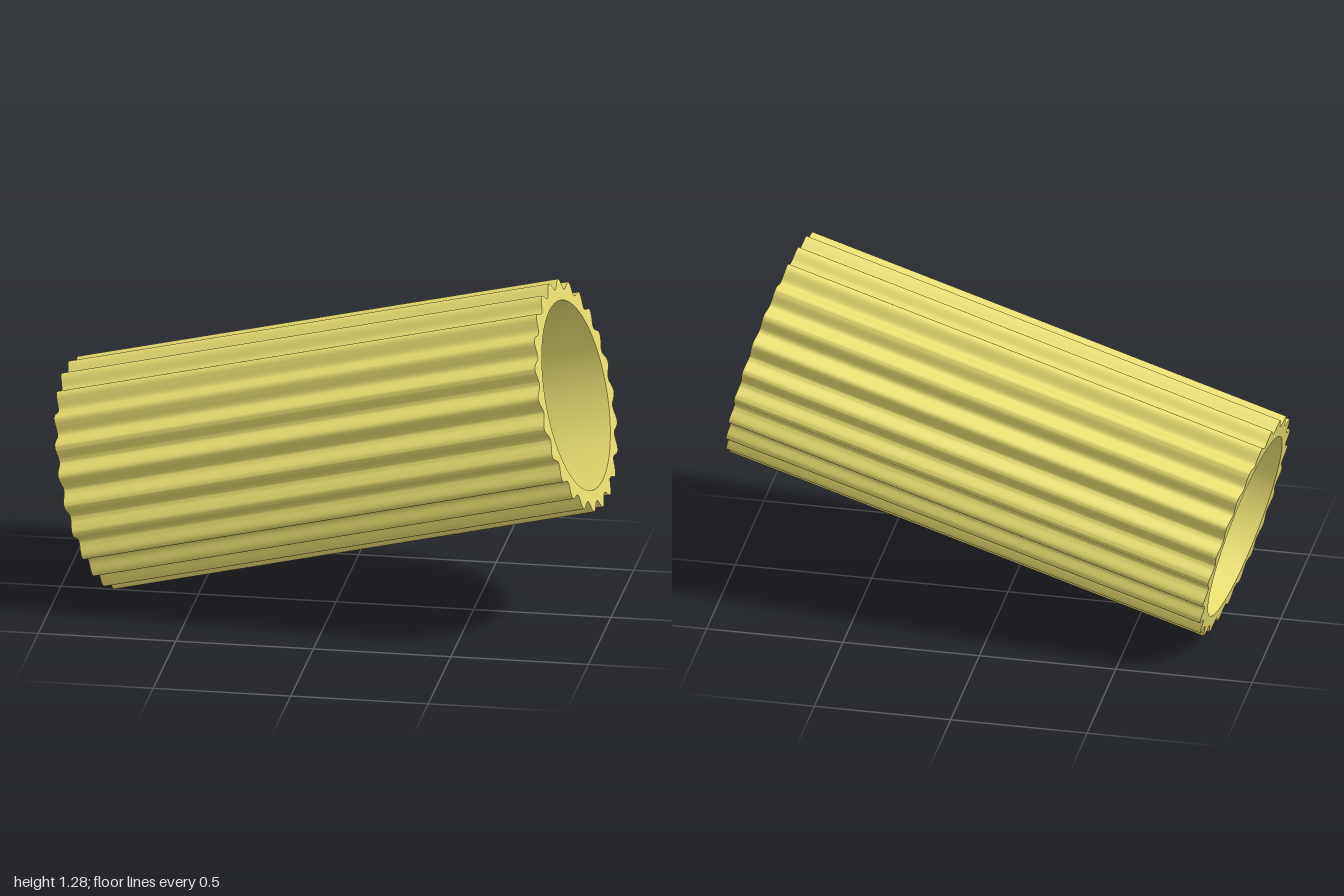
import * as THREE from 'three';
import { toCreasedNormals } from 'three/addons/utils/BufferGeometryUtils.js';

const TEETH = 24, STEPS = 16;
const MEAN_R = 0.405, WAVE = 0.018, BORE_R = 0.346;
const PHASE = THREE.MathUtils.degToRad(9.1);

export function createModel() {
  const group = new THREE.Group();
  group.name = 'flutedSleeve';

  // Wavy outer outline
  const outline = [];
  for (let i = 0; i < TEETH * STEPS; i++) {
    const a = (i / (TEETH * STEPS)) * Math.PI * 2;
    const r = MEAN_R + WAVE * Math.cos(TEETH * (a + PHASE));
    outline.push(new THREE.Vector2(r * Math.cos(a), r * Math.sin(a)));
  }
  const shape = new THREE.Shape(outline);

  // Round through bore
  const bore = [];
  for (let i = 0; i < 72; i++) {
    const a = (-i / 72) * Math.PI * 2;
    bore.push(new THREE.Vector2(BORE_R * Math.cos(a), BORE_R * Math.sin(a)));
  }
  shape.holes.push(new THREE.Path(bore));

  // Straight tube along the tilted axis
  const axis = new THREE.Vector3(1.775, 0.464, 0.176);
  const length = axis.length();
  axis.normalize();
  const side = new THREE.Vector3(0, -axis.z, axis.y).normalize();
  const up = new THREE.Vector3().crossVectors(side, axis);

  let geo = new THREE.ExtrudeGeometry(shape, { depth: length, bevelEnabled: false, steps: 1 });
  geo.translate(0, 0, -length / 2);
  geo = toCreasedNormals(geo, THREE.MathUtils.degToRad(40));
  geo.applyMatrix4(new THREE.Matrix4().makeBasis(up, side, axis));
  geo.computeBoundingBox();
  geo.translate(0, -geo.boundingBox.min.y, 0);

  const sleeve = new THREE.Mesh(geo, new THREE.MeshStandardMaterial({ color: 0xe8dc70 }));
  sleeve.name = 'flutedTube';
  group.add(sleeve);
  return group;
}
